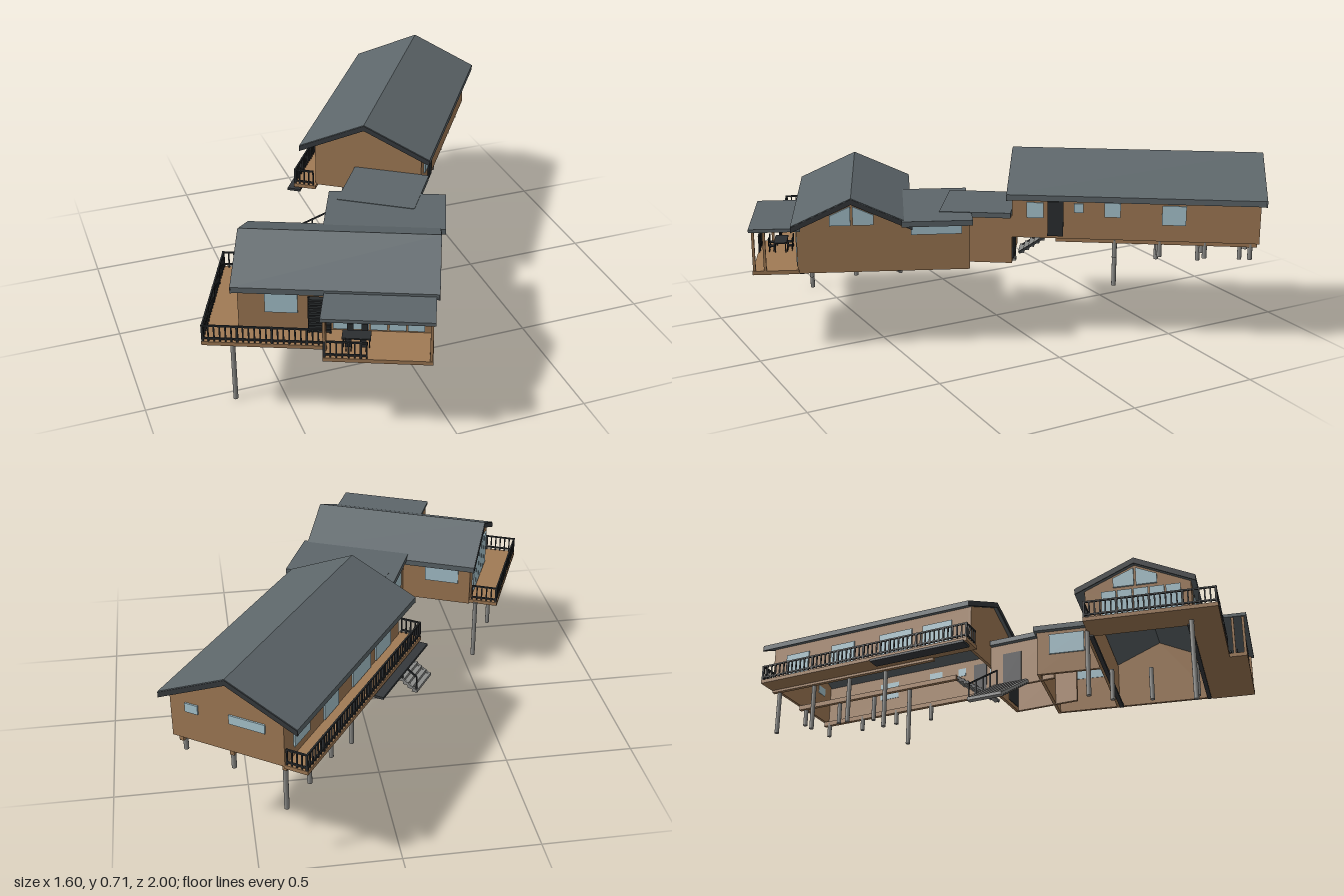
import * as THREE from 'three';

const mat = (color) => new THREE.MeshStandardMaterial({ color, side: THREE.DoubleSide });
const M = {
  roof: mat(0x5d666a), trim: mat(0x35393c), wood: mat(0xa07a55), glass: mat(0xa9c6d0),
  metal: mat(0x8c8c89), dark: mat(0x2b2e30), stair: mat(0x8a8b89),
};

function add(parent, name, geometry, material) {
  const mesh = new THREE.Mesh(geometry, material);
  mesh.name = name;
  parent.add(mesh);
  return mesh;
}

// Box given by its minimum and maximum on each axis
function box(parent, name, material, x0, x1, y0, y1, z0, z1) {
  const m = add(parent, name, new THREE.BoxGeometry(x1 - x0, y1 - y0, z1 - z0), material);
  m.position.set((x0 + x1) / 2, (y0 + y1) / 2, (z0 + z1) / 2);
}

// Square bar between two points
function bar(parent, name, material, a, b, size) {
  const p = new THREE.Vector3(...a), q = new THREE.Vector3(...b);
  const m = add(parent, name, new THREE.BoxGeometry(size, size, p.distanceTo(q)), material);
  m.position.copy(p).lerp(q, 0.5);
  m.quaternion.setFromRotationMatrix(new THREE.Matrix4().lookAt(q, p, new THREE.Vector3(0, 1, 0)));
}

// Round support post
function post(parent, x, z, bottom, top) {
  const m = add(parent, 'supportPost', new THREE.CylinderGeometry(0.009, 0.009, top - bottom, 12), M.metal);
  m.position.set(x, (top + bottom) / 2, z);
}

// Straight railing with balusters
function railing(parent, x0, z0, x1, z1, y, h) {
  const g = new THREE.Group();
  g.name = 'railing';
  parent.add(g);
  const n = Math.max(2, Math.round(Math.hypot(x1 - x0, z1 - z0) / 0.02));
  for (const t of [h - 0.003, 0.012]) bar(g, 'rail', M.dark, [x0, y + t, z0], [x1, y + t, z1], 0.006);
  for (let i = 0; i <= n; i++) {
    const x = x0 + (x1 - x0) * i / n, z = z0 + (z1 - z0) * i / n, s = i % 6 ? 0.0025 : 0.004;
    box(g, 'baluster', M.dark, x - s, x + s, y, y + h, z - s, z + s);
  }
}

// Profile in x and y, extruded along z from z0 to z1
function extrude(parent, name, material, points, z0, z1) {
  const shape = new THREE.Shape(points.map(([x, y]) => new THREE.Vector2(x, y)));
  const geo = new THREE.ExtrudeGeometry(shape, { depth: z1 - z0, bevelEnabled: false });
  geo.translate(0, 0, z0);
  add(parent, name, geo, material);
}

// Gabled house, ridge along z, open underneath
function house(parent, name, o) {
  const g = new THREE.Group();
  g.name = name;
  parent.add(g);
  const { w, l, ridge, eave, t, left, right, base, end } = o;
  const under = (x) => ridge - t - (ridge - eave) * Math.abs(x) / w;
  const chevron = (top, drop) => [[-w, eave - top], [-w, eave - drop], [0, ridge - drop], [w, eave - drop], [w, eave - top], [0, ridge - top]];
  extrude(g, 'roof', M.roof, chevron(0, t), -l, l);
  // dark barge boards on both gables
  for (const z of [-l - 0.002, l - 0.004]) extrude(g, 'bargeBoard', M.trim, chevron(0.003, t + 0.002), z, z + 0.006);
  for (const z of [-end, end - 0.012])
    extrude(g, 'gableWall', M.wood, [[left, base], [right, base], [right, under(right)], [0, under(0)], [left, under(left)]], z, z + 0.012);
  box(g, 'sideWall', M.wood, left, left + 0.012, base, under(left), -end, end);
  box(g, 'sideWall', M.wood, right - 0.012, right, base, under(right), -end, end);
  return g;
}

// Windows in a wall at constant x or constant z: [from, to, bottom, top]
const windowsX = (p, x, list, m = M.glass, name = 'window') =>
  list.forEach(([a, b, y0, y1]) => box(p, name, m, x - 0.01, x + 0.01, y0, y1, a, b));
const windowsZ = (p, z, list, m = M.glass, name = 'window') =>
  list.forEach(([a, b, y0, y1]) => box(p, name, m, a, b, y0, y1, z - 0.01, z + 0.01));

function backWing() {
  const g = new THREE.Group();
  g.name = 'backWing';
  g.position.set(0.305, 0, -0.455);
  g.rotation.y = -0.594;
  house(g, 'longHouse', { w: 0.266, l: 0.482, ridge: 0.708, eave: 0.587, t: 0.022, left: -0.205, right: 0.23, base: 0.41, end: 0.465 });
  windowsX(g, 0.226, [[0.345, 0.41, 0.49, 0.55], [0.195, 0.23, 0.515, 0.55], [0.055, 0.116, 0.5, 0.555], [-0.19, -0.1, 0.475, 0.55]]);
  windowsX(g, 0.226, [[0.27, 0.33, 0.42, 0.555]], M.dark, 'door');
  windowsX(g, -0.201, [[-0.4, -0.29, 0.45, 0.55], [-0.18, -0.07, 0.42, 0.55], [0.05, 0.2, 0.42, 0.55], [0.25, 0.38, 0.42, 0.55]]);
  windowsZ(g, -0.461, [[0.12, 0.17, 0.525, 0.56], [-0.137, 0, 0.525, 0.56]]);

  // floor beams, balcony and lower canopy
  for (const x of [-0.2, 0, 0.2]) box(g, 'floorBeam', M.wood, x - 0.008, x + 0.008, 0.39, 0.41, -0.46, 0.3);
  box(g, 'balconyFloor', M.wood, -0.29, -0.2, 0.4, 0.415, -0.463, 0.49);
  railing(g, -0.285, -0.458, -0.285, 0.485, 0.415, 0.065);
  railing(g, -0.285, -0.458, -0.21, -0.458, 0.415, 0.065);
  railing(g, -0.285, 0.485, -0.21, 0.485, 0.415, 0.065);
  box(g, 'lowerCanopy', M.trim, -0.318, -0.265, 0.38, 0.39, 0.075, 0.489);

  // three rows of support posts following the slope of the ground
  const rows = [[-0.19, [0.15, 0.2, 0.2, 0.21]], [0.01, [0.15, 0.285, 0.3, 0.32]], [0.2, [0.33, 0.34, 0.34, 0.34]]];
  for (const [x, feet] of rows) feet.forEach((y, i) => post(g, x, 0.075 - 0.17 * i, y, 0.402));

  // passage to the front wing
  box(g, 'passageRoof', M.roof, -0.04, 0.262, 0.493, 0.513, 0.468, 0.74);
  box(g, 'passageWall', M.wood, 0.218, 0.23, 0.305, 0.493, 0.465, 0.74);
  box(g, 'passageWall', M.wood, -0.02, -0.008, 0.305, 0.493, 0.465, 0.74);
  box(g, 'passageEndWall', M.wood, -0.02, 0.23, 0.305, 0.493, 0.465, 0.477);
  windowsZ(g, 0.469, [[0.125, 0.215, 0.32, 0.42]], M.dark, 'door');
  windowsX(g, -0.014, [[0.52, 0.6, 0.32, 0.45]], M.dark, 'door');

  // entrance stairs
  const n = 13;
  for (let i = 0; i < n; i++) {
    const x = -0.28 + 0.25 * i / n, y = 0.15 + 0.16 * i / n;
    box(g, 'stairTread', M.stair, x, x + 0.023, y, y + 0.0125, 0.49, 0.632);
  }
  for (const z of [0.495, 0.627]) bar(g, 'stairStringer', M.stair, [-0.275, 0.155, z], [-0.03, 0.31, z], 0.01);
  bar(g, 'handrail', M.dark, [-0.275, 0.22, 0.495], [-0.03, 0.38, 0.495], 0.006);
  for (const t of [0, 0.25, 0.5, 0.75, 1])
    bar(g, 'handrailPost', M.dark, [-0.275 + 0.245 * t, 0.155 + 0.157 * t, 0.495], [-0.275 + 0.245 * t, 0.22 + 0.16 * t, 0.495], 0.005);

  // inner stairs up to the long house
  for (let i = 0; i < 8; i++) {
    const z = 0.452 - 0.02 * i, y = 0.3 + 0.0135 * i;
    box(g, 'innerStairTread', M.stair, 0, 0.09, y, y + 0.009, z - 0.022, z);
  }
  for (const x of [0.004, 0.086]) bar(g, 'innerStairStringer', M.trim, [x, 0.3, 0.45], [x, 0.405, 0.295], 0.009);
  return g;
}

function frontWing() {
  const g = new THREE.Group();
  g.name = 'frontWing';
  g.position.set(-0.26, 0, 0.503);
  g.rotation.y = -0.409;
  const h = house(g, 'gableHouse', { w: 0.225, l: 0.36, ridge: 0.6, eave: 0.497, t: 0.022, left: -0.205, right: 0.19, base: 0.308, end: 0.34 });
  h.rotation.y = Math.PI / 2;

  // gable windows under both roof slopes, and the glazed wall below at the deck end
  for (const z of [-0.347, 0.329]) for (const s of [-1, 1])
    extrude(h, 'gableWindow', M.glass, [[s * 0.004, 0.492], [s * 0.082, 0.492], [s * 0.082, 0.53], [s * 0.004, 0.565]], z, z + 0.018);
  const panes = (a, b, n, y0, y1) => Array.from({ length: n }, (_, i) => {
    const s = (b - a) / n;
    return [a + s * i + 0.003, a + s * (i + 1) - 0.003, y0, y1];
  });
  windowsX(g, -0.336, panes(-0.13, 0.17, 5, 0.33, 0.478));
  windowsZ(g, 0.2, panes(-0.01, 0.316, 5, 0.33, 0.47));
  windowsZ(g, 0.2, [[-0.245, -0.13, 0.39, 0.465]]);
  windowsZ(g, -0.186, [[-0.29, -0.15, 0.4, 0.47]]);

  // deck with railing, and the porch floor
  box(g, 'deckLeft', M.wood, -0.456, -0.34, 0.308, 0.323, -0.18, 0.305);
  box(g, 'deckFront', M.wood, -0.34, 0.345, 0.308, 0.323, 0.2, 0.305);
  box(g, 'porchFloor', M.wood, -0.03, 0.345, 0.308, 0.323, 0.305, 0.372);
  railing(g, -0.451, -0.175, -0.451, 0.3, 0.323, 0.067);
  railing(g, -0.451, 0.3, -0.03, 0.3, 0.323, 0.067);
  railing(g, -0.451, -0.175, -0.35, -0.175, 0.323, 0.067);
  railing(g, -0.025, 0.367, 0.12, 0.367, 0.323, 0.067);

  // porch roof, posts and slatted screen
  box(g, 'porchRoof', M.roof, -0.037, 0.35, 0.474, 0.487, 0.19, 0.38);
  for (const x of [-0.025, 0.338]) for (const z of [0.325, 0.365])
    box(g, 'porchPost', M.wood, x - 0.005, x + 0.005, 0.32, 0.475, z - 0.005, z + 0.005);
  for (let i = 0; i < 10; i++) box(g, 'screenSlat', M.dark, -0.09, -0.012, 0.33 + i * 0.014, 0.339 + i * 0.014, 0.215, 0.235);
  for (const x of [-0.09, -0.015]) box(g, 'screenPost', M.dark, x - 0.003, x + 0.003, 0.32, 0.47, 0.22, 0.23);

  // table and chairs on the porch
  box(g, 'tableTop', M.dark, 0.03, 0.13, 0.358, 0.363, 0.26, 0.31);
  for (const x of [0.035, 0.125]) for (const z of [0.265, 0.305]) box(g, 'tableLeg', M.dark, x - 0.002, x + 0.002, 0.323, 0.36, z - 0.002, z + 0.002);
  for (const x of [0.055, 0.105]) for (const s of [-1, 1]) {
    const z = 0.285 + s * 0.035;
    box(g, 'chairSeat', M.dark, x - 0.011, x + 0.011, 0.342, 0.346, z - 0.011, z + 0.011);
    box(g, 'chairBack', M.dark, x - 0.011, x + 0.011, 0.346, 0.375, z + s * 0.011 - 0.002, z + s * 0.011 + 0.002);
    for (const a of [-0.009, 0.009]) for (const b of [-0.009, 0.009])
      box(g, 'chairLeg', M.dark, x + a - 0.0015, x + a + 0.0015, 0.323, 0.343, z + b - 0.0015, z + b + 0.0015);
  }

  // flat-roofed connector behind
  box(g, 'connectorRoof', M.roof, -0.075, 0.378, 0.49, 0.511, -0.45, -0.185);
  box(g, 'connectorWall', M.wood, 0.328, 0.34, 0.308, 0.49, -0.44, -0.18);
  box(g, 'connectorWall', M.wood, -0.055, -0.043, 0.308, 0.49, -0.44, -0.18);
  box(g, 'connectorBackWall', M.wood, -0.055, 0.34, 0.308, 0.49, -0.44, -0.428);
  windowsX(g, 0.336, [[-0.41, -0.22, 0.45, 0.49]]);
  windowsX(g, -0.051, [[-0.39, -0.25, 0.39, 0.475]]);

  // support posts: x, z, foot height
  [[-0.366, 0.2, 0], [-0.366, -0.18, 0.055], [0, 0.176, 0.175], [0, 0, 0.178], [-0.02, -0.15, 0.185]]
    .forEach(([x, z, y]) => post(g, x, z, y, 0.312));
  for (const z of [-0.17, 0.19]) box(g, 'floorBeam', M.trim, -0.34, 0.33, 0.302, 0.314, z - 0.008, z + 0.008);
  return g;
}

export function createModel() {
  const model = new THREE.Group();
  model.name = 'hillsideHouse';
  model.add(backWing(), frontWing());
  return model;
}
